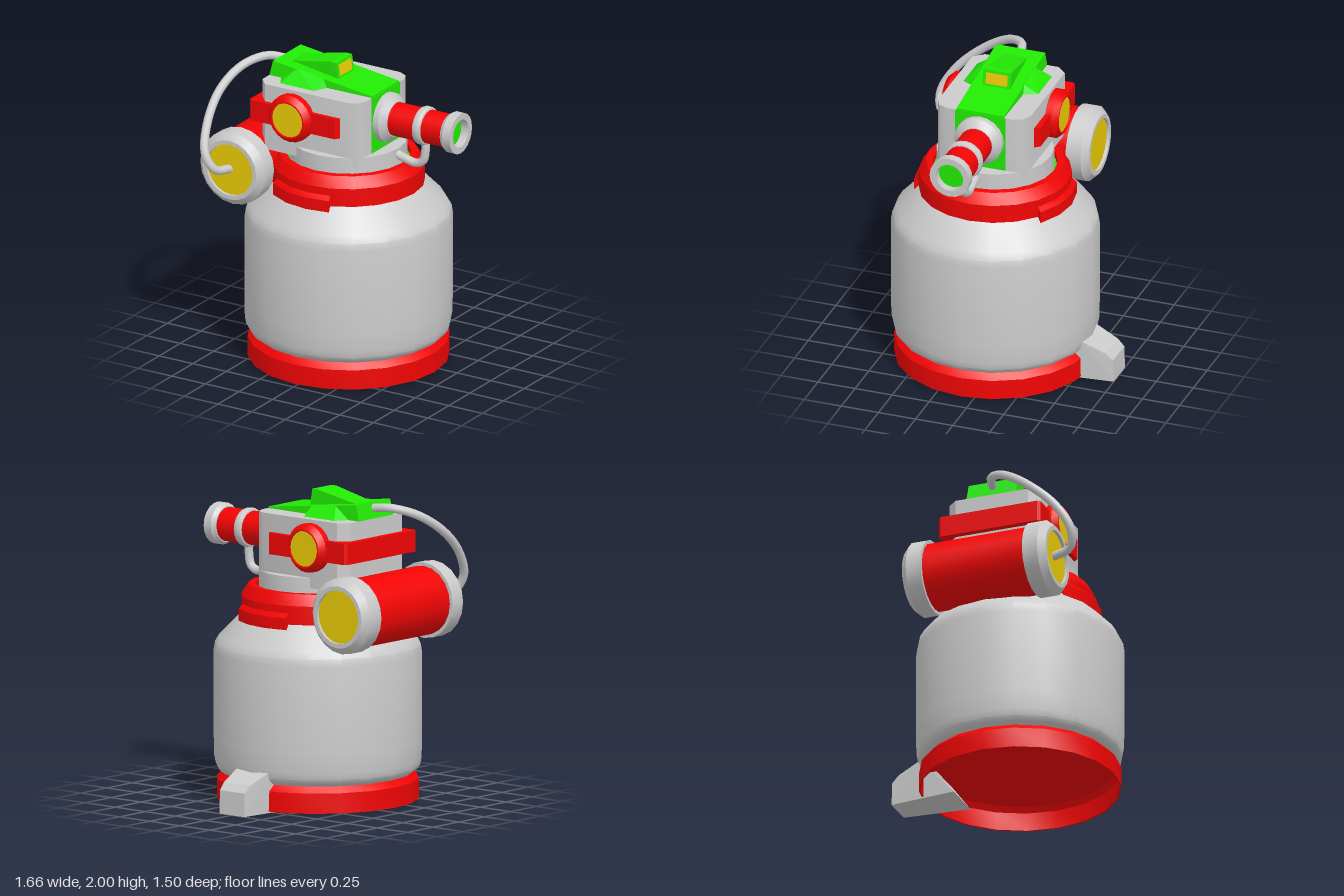
import * as THREE from 'three';
import { toCreasedNormals } from 'three/addons/utils/BufferGeometryUtils.js';
import { ConvexGeometry } from 'three/addons/geometries/ConvexGeometry.js';

const SIDES = 20;
const CX = -0.005, CZ = 0.085; // axis of the tank
const mat = (color) => new THREE.MeshStandardMaterial({ color, side: THREE.DoubleSide });

export function createModel() {
  const model = new THREE.Group();
  model.name = 'sprayTank';
  const grey = mat(0xcccccc), red = mat(0xf20404), green = mat(0x22ea04), gold = mat(0xeaca04);

  const add = (name, geometry, material, x = 0, y = 0, z = 0) => {
    const mesh = new THREE.Mesh(geometry, material);
    mesh.name = name;
    mesh.position.set(x, y, z);
    model.add(mesh);
    return mesh;
  };
  // profile points are [radius, height], listed from bottom to top
  const lathe = (pts, start = 0, sweep = Math.PI * 2, segments = SIDES) =>
    toCreasedNormals(
      new THREE.LatheGeometry(pts.map(([r, h]) => new THREE.Vector2(r, h)), segments, start, sweep), 0.42);
  const alongX = (pts) => lathe(pts).rotateZ(-Math.PI / 2);
  const alongZ = (pts) => lathe(pts).rotateX(Math.PI / 2);
  const hull = (pts) => new ConvexGeometry(pts.map((p) => new THREE.Vector3(...p)));
  // plan points are [x, z], raised from y0 to y1
  const prism = (plan, y0, y1) =>
    new THREE.ExtrudeGeometry(new THREE.Shape(plan.map(([x, z]) => new THREE.Vector2(x, -z))),
      { depth: y1 - y0, bevelEnabled: false }).rotateX(-Math.PI / 2).translate(0, y0, 0);
  const hose = (pts, r) =>
    new THREE.TubeGeometry(new THREE.CatmullRomCurve3(pts.map((p) => new THREE.Vector3(...p))), 32, r, 10);

  // Tank
  add('baseRing', lathe([[0, 0.165], [0.605, 0.165], [0.628, 0.13], [0.628, 0.01], [0.64, 0.01], [0.64, 0.14],
    [0.6, 0.18]]), red, CX, 0, CZ);
  add('tankBody', lathe([[0.58, 0.17], [0.605, 0.18], [0.632, 0.2], [0.648, 0.225], [0.657, 0.27], [0.66, 0.4],
    [0.66, 0.95], [0.652, 1.0], [0.625, 1.045], [0.485, 1.19]]), grey, CX, 0, CZ);
  add('collarRing', lathe([[0.44, 1.18], [0.485, 1.18], [0.485, 1.31], [0.44, 1.38], [0.395, 1.38], [0.395, 1.33]]),
    red, CX, 0, CZ);
  add('seal', lathe([[0.396, 1.335], [0.36, 1.335]]), green, CX, 0, CZ);
  add('neck', lathe([[0.372, 1.33], [0.372, 1.475], [0, 1.475]]), grey, CX, 0, CZ);

  // Curved clips with a bevelled top, front and back
  for (const turn of [0, Math.PI]) {
    const start = turn - Math.PI / 5, sweep = Math.PI * 0.3;
    add('collarClip', lathe([[0.47, 1.15], [0.515, 1.15], [0.515, 1.235], [0.49, 1.262], [0.47, 1.262], [0.47, 1.15]],
      start, sweep, 3), red, CX, 0, CZ);
    for (const a of [start, start + sweep]) {
      const end = add('clipEnd', new THREE.PlaneGeometry(0.045, 0.085), red,
        CX + Math.sin(a) * 0.4925, 1.1925, CZ + Math.cos(a) * 0.4925);
      end.rotation.y = a + Math.PI / 2;
    }
  }

  // Rear foot
  const foot = [];
  for (const s of [-1, 1]) {
    foot.push([s * 0.143, 0, -0.31], [s * 0.13, 0.26, -0.5], [s * 0.13, 0.26, -0.55],
      [s * 0.108, 0.195, -0.7], [s * 0.103, 0.15, -0.745], [s * 0.103, 0, -0.75]);
  }
  add('rearFoot', hull(foot), grey, CX);

  // Head block with cut corners, and the band around it
  const left = -0.49, right = 0.27, back = -0.225, front = 0.4;
  add('headBlock', toCreasedNormals(prism([
    [left, back + 0.065], [left + 0.06, back], [right - 0.085, back], [right - 0.025, back + 0.03],
    [right, back + 0.09], [right, front - 0.09], [right - 0.025, front - 0.03], [right - 0.085, front],
    [left + 0.06, front], [left, front - 0.065]], 1.41, 1.85), 0.7), grey);
  add('headBand', prism([[-0.533, -0.245], [-0.518, -0.26], [0.105, -0.26], [0.135, -0.22],
    [0.135, 0.39], [0.105, 0.43], [-0.518, 0.43], [-0.533, 0.415]], 1.597, 1.733), red);

  // Round gauges on the front and back of the band
  for (const s of [1, -1]) {
    const flip = s > 0 ? 0 : Math.PI;
    add('gaugeRim', alongZ([[0.157, 0.3], [0.157, 0.358], [0.125, 0.394], [0.115, 0.394], [0.115, 0.377]]),
      red, -0.218, 1.673, 0.0875).rotation.y = flip;
    add('gaugeFace', new THREE.CircleGeometry(0.117, SIDES), gold, -0.218, 1.673, 0.0875 + s * 0.382)
      .rotation.y = flip;
  }

  // Green cover: sloping lid, front strip, side bumps and sight
  const lid = [];
  for (const s of [-1, 1]) {
    lid.push([-0.49, 1.845, s * 0.17], [-0.465, 1.95, s * 0.165], [0.27, 1.86, s * 0.16], [0.27, 1.845, s * 0.16]);
    add('sideBump', hull([
      [-0.415, 1.845, s * 0.16], [-0.06, 1.845, s * 0.16], [-0.355, 1.85, s * 0.252], [-0.105, 1.85, s * 0.252],
      [-0.29, 1.932, s * 0.158], [-0.09, 1.908, s * 0.158], [-0.2, 1.8, 0]]), green, 0, 0, CZ);
  }
  add('coverLid', hull(lid), green, 0, 0, CZ);
  add('coverStrip', new THREE.BoxGeometry(0.02, 0.375, 0.34), green, 0.263, 1.6625, CZ);
  const sight = [];
  for (const s of [-1, 1]) {
    sight.push([-0.4, 1.935, s * 0.075], [-0.08, 2, s * 0.093], [-0.038, 2, s * 0.093],
      [-0.02, 1.89, s * 0.093], [-0.31, 1.89, s * 0.078]);
  }
  add('sight', hull(sight), green, 0, 0, CZ);
  add('sightWindow', new THREE.BoxGeometry(0.006, 0.075, 0.145), gold, -0.03, 1.945, CZ).rotation.z = 0.16;

  // Nozzle
  const nozzle = (name, pts, material) => add(name, alongX(pts), material, 0, 1.672, CZ);
  nozzle('nozzleFlange', [[0.16, 0.25], [0.16, 0.312], [0.115, 0.352], [0.1, 0.352]], grey);
  nozzle('nozzleTube', [[0.109, 0.33], [0.109, 0.76]], red);
  nozzle('nozzleCollar', [[0.105, 0.534], [0.12, 0.54], [0.126, 0.555], [0.126, 0.577], [0.12, 0.592],
    [0.105, 0.598]], grey);
  nozzle('nozzleMuzzle', [[0.105, 0.745], [0.116, 0.745], [0.134, 0.772], [0.134, 0.83], [0.092, 0.83],
    [0.092, 0.77]], grey);
  nozzle('nozzleBore', [[0.093, 0.775], [0, 0.775]], green);
  add('nozzlePipe', hose([[0.567, 1.58, CZ], [0.567, 1.5, CZ], [0.55, 1.432, CZ], [0.5, 1.404, CZ],
    [0.42, 1.417, CZ], [0.33, 1.443, CZ]], 0.028), grey);

  // Side canister with capped ends
  const canX = -0.587, canY = 1.29;
  add('canisterBody', alongZ([[0.22, -0.37], [0.22, 0.37]]), red, canX, canY, CZ);
  for (const s of [1, -1]) {
    const flip = s > 0 ? 0 : Math.PI;
    add('canisterCap', alongZ([[0.21, 0.345], [0.243, 0.345], [0.243, 0.447], [0.2, 0.49], [0.172, 0.49],
      [0.172, 0.465]]), grey, canX, canY, CZ).rotation.y = flip;
    add('canisterDisc', new THREE.CircleGeometry(0.174, SIDES), gold, canX, canY, CZ + s * 0.47).rotation.y = flip;
  }

  // Hose from the cover to the canister
  add('hose', hose([[-0.46, 1.912, CZ], [-0.58, 1.92, 0.12], [-0.69, 1.875, 0.24], [-0.748, 1.76, 0.42],
    [-0.73, 1.59, 0.61], [-0.685, 1.42, 0.705], [-0.63, 1.32, 0.68], [-0.6, 1.29, 0.55]], 0.028), grey);

  return model;
}
